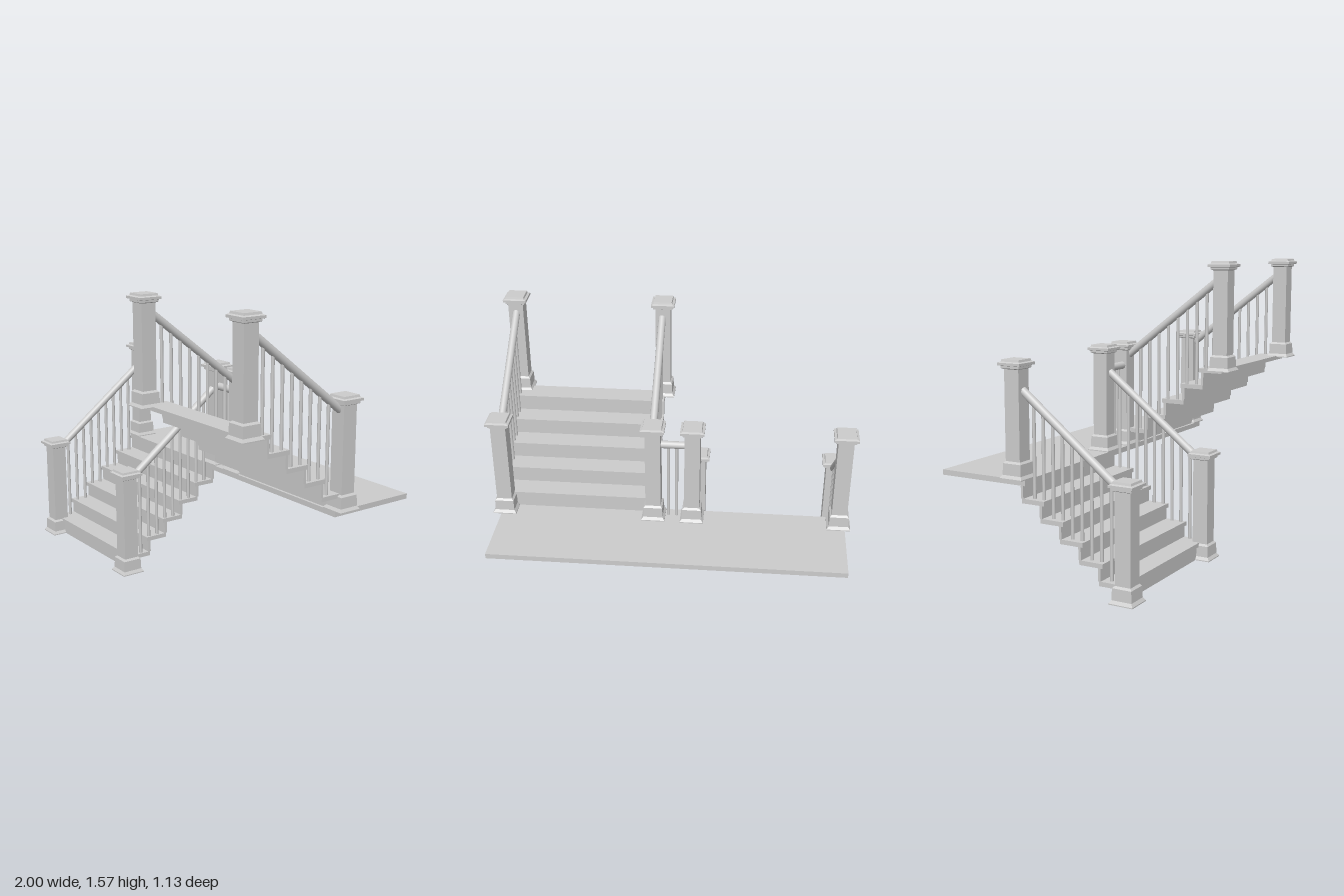
import * as THREE from 'three';

const flat = new THREE.MeshStandardMaterial({ color: 0xcccccc, flatShading: true });
const smooth = new THREE.MeshStandardMaterial({ color: 0xcccccc });

// Box given by its minimum and maximum on each axis
function slab(name, [x0, x1], [y0, y1], [z0, z1]) {
  const mesh = new THREE.Mesh(new THREE.BoxGeometry(x1 - x0, y1 - y0, Math.abs(z1 - z0)), flat);
  mesh.position.set((x0 + x1) / 2, (y0 + y1) / 2, (z0 + z1) / 2);
  mesh.name = name;
  return mesh;
}

// Round bar between two points
function bar(name, a, b, radius, sides = 12) {
  const from = new THREE.Vector3(...a), to = new THREE.Vector3(...b);
  const dir = to.clone().sub(from);
  const mesh = new THREE.Mesh(new THREE.CylinderGeometry(radius, radius, dir.length(), sides), smooth);
  mesh.position.copy(from).add(to).multiplyScalar(0.5);
  mesh.quaternion.setFromUnitVectors(new THREE.Vector3(0, 1, 0), dir.normalize());
  mesh.name = name;
  return mesh;
}

// Square newel post: half widths and heights turned into a four-sided lathe
const postProfile = [
  [0, 0], [0.065, 0], [0.065, 0.005], [0.054, 0.02], [0.052, 0.078], [0.042, 0.088],
  [0.042, 0.54], [0.053, 0.545], [0.053, 0.556], [0.065, 0.559], [0.065, 0.572],
  [0.053, 0.577], [0.05, 0.588], [0, 0.588],
].map(([w, y]) => new THREE.Vector2(w * Math.SQRT2, y));
const postGeometry = new THREE.LatheGeometry(postProfile, 4, Math.PI / 4);

function post(x, y, z) {
  const mesh = new THREE.Mesh(postGeometry, flat);
  mesh.position.set(x, y, z);
  mesh.name = 'newelPost';
  return mesh;
}

// Flight of five treads climbing along dir (+1 or -1 in z), with two railings
function flight(o) {
  const group = new THREE.Group();
  group.name = o.name;
  const front = i => o.z + o.dir * o.going * i;
  const top = i => o.firstTop + o.rise * i;
  const thick = 0.023;

  for (let i = 0; i < 5; i++) {
    group.add(slab('tread', o.x, [top(i) - thick, top(i)], [front(i), front(i) + o.dir * o.depth]));
  }
  for (let i = 0; i < o.risers; i++) {
    const below = i === 0 ? o.base : top(i - 1);
    const z = front(i) + o.dir * 0.011;
    group.add(slab('riser', o.x, [below, top(i) - thick], [z, z + o.dir * 0.014]));
  }

  // Handrails with balusters standing on the treads
  const [[zA, yA], [zB, yB]] = o.rail;
  for (const x of o.railX) {
    group.add(bar('handrail', [x, yA, zA], [x, yB, zB], 0.021, 16));
    for (let k = 0; k < o.balusters; k++) {
      const z = o.balusterZ - o.balusterGap * k;
      const step = Math.min(4, Math.max(0, Math.floor((z - o.z) * o.dir / o.going)));
      const railY = yA + (yB - yA) * (z - zA) / (zB - zA);
      group.add(bar('baluster', [x, top(step), z], [x, railY, z], 0.009));
    }
  }
  return group;
}

export function createModel() {
  const model = new THREE.Group();
  model.name = 'staircase';

  model.add(flight({
    name: 'lowerFlight', x: [-0.97, -0.1], z: 0.49, dir: -1, going: 0.11, depth: 0.13,
    base: 0, firstTop: 0.092, rise: 0.0865, risers: 6,
    railX: [-0.935, -0.118], rail: [[0.465, 0.53], [-0.09, 0.967]],
    balusters: 9, balusterZ: 0.41, balusterGap: 0.0545,
  }));
  model.add(flight({
    name: 'upperFlight', x: [0.08, 0.955], z: -0.1, dir: 1, going: 0.115, depth: 0.135,
    base: 0.53, firstTop: 0.623, rise: 0.0925, risers: 5,
    railX: [0.097, 0.93], rail: [[0.465, 1.475], [-0.09, 1.045]],
    balusters: 8, balusterZ: 0.395, balusterGap: 0.0587,
  }));

  // Landing joining the flights
  model.add(slab('landing', [-0.97, 0.95], [0.502, 0.53], [-0.57, -0.06]));

  // Posts at the foot, landing and head
  for (const x of [-0.935, -0.123]) model.add(post(x, 0, 0.493), post(x, 0.53, -0.125));
  for (const x of [0.092, 0.93]) model.add(post(x, 0.53, -0.122), post(x, 0.985, 0.495));

  // Short railing between the two middle posts
  model.add(bar('landingRail', [-0.1, 0.985, -0.11], [0.07, 0.985, -0.11], 0.021, 16));
  for (const x of [-0.035, 0.01]) {
    model.add(bar('landingBaluster', [x, 0.53, -0.11], [x, 0.98, -0.11], 0.009));
  }
  return model;
}
